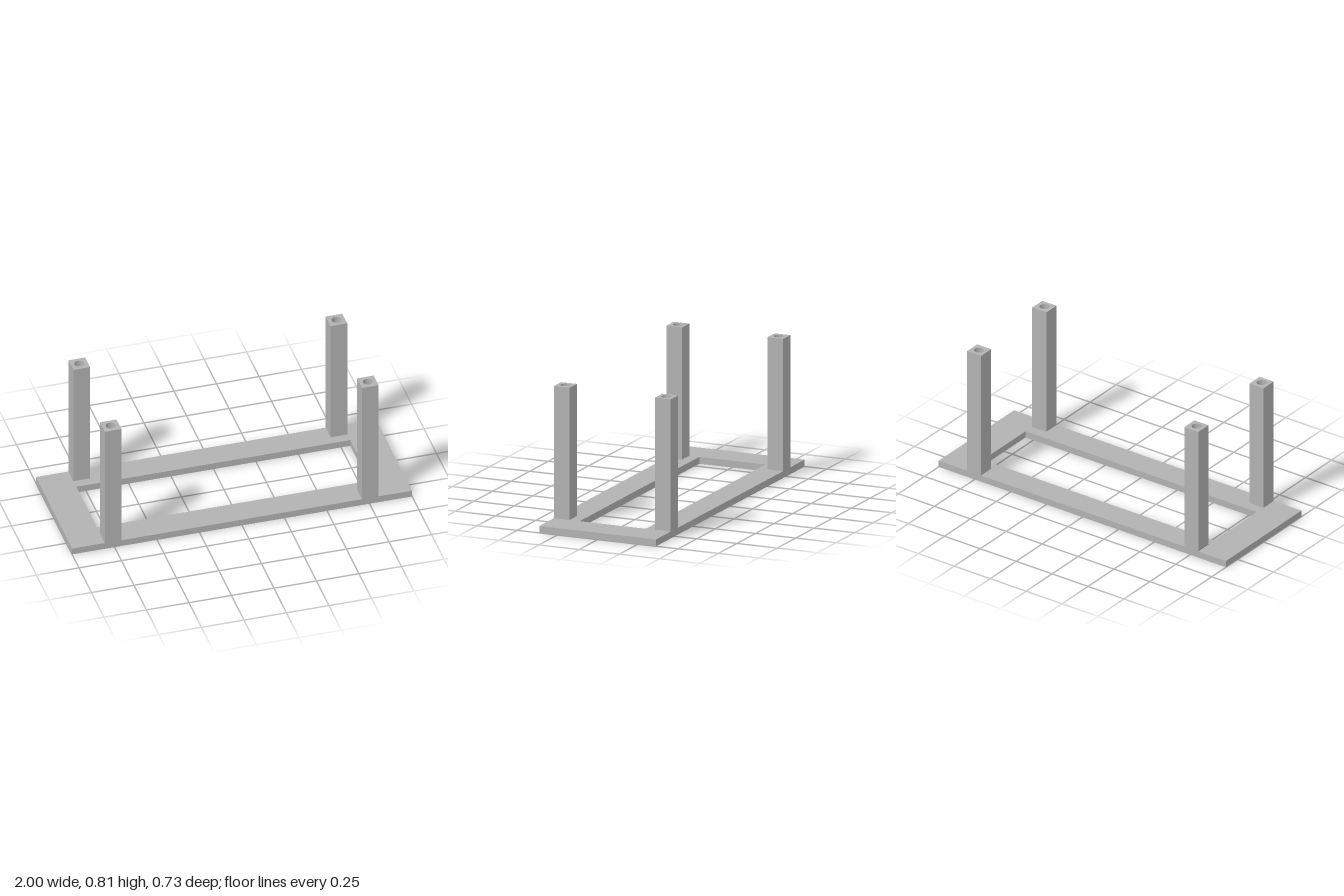
import * as THREE from 'three';

const BASE_H = 0.04, TOP = 0.81, POST_W = 0.098, HOLE_R = 0.028, HOLE_DEPTH = 0.25;

// Rectangle outline from corner to corner
function rect(PathType, x0, y0, x1, y1) {
  return new PathType([[x0, y0], [x1, y0], [x1, y1], [x0, y1]].map(([x, y]) => new THREE.Vector2(x, y)));
}

// Extrude a plan shape upward from height y
function slab(shape, y, height) {
  const geo = new THREE.ExtrudeGeometry(shape, { depth: height, bevelEnabled: false, curveSegments: 24 });
  return geo.rotateX(-Math.PI / 2).translate(0, y, 0);
}

export function createModel() {
  const model = new THREE.Group();
  model.name = 'postFrame';
  const grey = new THREE.MeshStandardMaterial({ color: 0xb2b2b2 });
  grey.name = 'grey';

  const add = (parent, geometry, name) => {
    const mesh = new THREE.Mesh(geometry, grey);
    mesh.name = name;
    parent.add(mesh);
  };

  // Flat base frame with a rectangular opening
  const frame = rect(THREE.Shape, -1, -0.363, 1, 0.363);
  frame.holes.push(rect(THREE.Path, -0.807, -0.203, 0.804, 0.208));
  add(model, slab(frame, 0, BASE_H), 'baseFrame');

  // Square posts: solid below, with a blind round hole in the top
  const h = POST_W / 2;
  const section = rect(THREE.Shape, -h, -h, h, h);
  const socket = rect(THREE.Shape, -h, -h, h, h);
  socket.holes.push(new THREE.Path().absarc(0, 0, HOLE_R, 0, Math.PI * 2, true));
  const floorY = TOP - HOLE_DEPTH;
  const lower = slab(section, BASE_H, floorY - BASE_H);
  const upper = slab(socket, floorY, HOLE_DEPTH);

  for (const [xName, x] of [['Left', 0.754], ['Right', -0.759]]) {
    for (const [zName, z] of [['front', 0.314], ['back', -0.314]]) {
      const post = new THREE.Group();
      post.name = `${zName}${xName}Post`;
      post.position.set(x, 0, z);
      add(post, lower, 'postShaft');
      add(post, upper, 'postSocket');
      model.add(post);
    }
  }
  return model;
}
